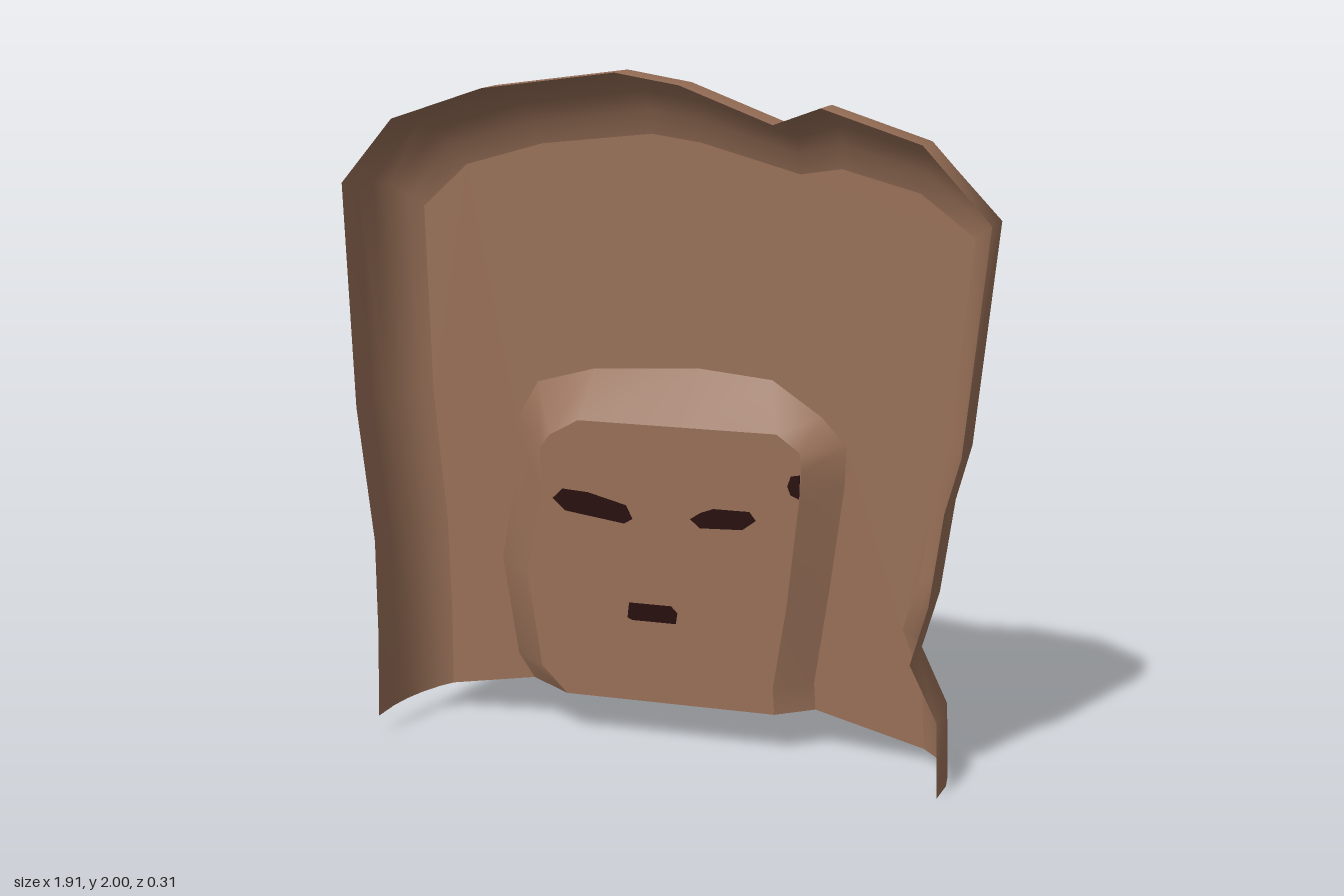
import * as THREE from 'three';

const BACK = -0.148, FACE = -0.06;

// Rim corner (x, y) and the matching corner (x, y) where the rounded edge meets the back
const EDGE = [
  [-0.88, 0.06, -0.77, 0.085], [-0.875, 0.3, -0.77, 0.3], [-0.88, 0.6, -0.78, 0.6],
  [-0.93, 1.0, -0.82, 1.0], [-0.96, 1.66, -0.84, 1.56], [-0.8, 1.85, -0.7, 1.69],
  [-0.52, 1.945, -0.46, 1.76], [-0.12, 2.0, -0.12, 1.8], [0.07, 1.97, 0.03, 1.78],
  [0.34, 1.87, 0.33, 1.7], [0.475, 1.92, 0.45, 1.72], [0.76, 1.83, 0.68, 1.66],
  [0.955, 1.62, 0.84, 1.54], [0.885, 0.98, 0.78, 0.98], [0.84, 0.82, 0.74, 0.82],
  [0.8, 0.55, 0.7, 0.55], [0.75, 0.38, 0.65, 0.39], [0.83, 0.22, 0.71, 0.24],
  [0.835, 0.0, 0.72, 0.035],
];

// Outer corner (x, y) and inner corner (x, y) of the bevel round the face panel
const BEVEL = [
  [-0.5, 0.13, -0.36, 0.12], [-0.55, 0.2, -0.44, 0.2], [-0.6, 0.5, -0.485, 0.49],
  [-0.55, 0.77, -0.44, 0.72], [-0.55, 0.93, -0.44, 0.87], [-0.48, 1.05, -0.41, 0.91],
  [-0.3, 1.1, -0.32, 0.96], [0.03, 1.12, 0.0, 0.96], [0.25, 1.1, 0.29, 0.96],
  [0.4, 1.0, 0.36, 0.91], [0.475, 0.92, 0.365, 0.85], [0.47, 0.8, 0.36, 0.77],
  [0.43, 0.5, 0.325, 0.45], [0.385, 0.2, 0.285, 0.2], [0.39, 0.12, 0.29, 0.12],
];

// Rounded section of the edge: [z, share of the way from rim to back]
const SECTION = [[0.16, 0], [0.05, 0], [-0.02, 0.11], [-0.08, 0.34], [-0.125, 0.66], [BACK, 1]];

const outer = (list) => list.map(([x, y]) => [x, y]);
const inner = (list) => list.map(([, , x, y]) => [x, y]);
const shapeOf = (pts) => new THREE.Shape(pts.map(([x, y]) => new THREE.Vector2(x, y)));

// Open surface swept from the first to the second outline through a section
function sweep(list, section) {
  const pos = [], index = [], n = list.length;
  for (const [z, t] of section)
    for (const [x, y, u, v] of list) pos.push(x + (u - x) * t, y + (v - y) * t, z);
  for (let r = 0; r < section.length - 1; r++)
    for (let i = 0; i < n - 1; i++) {
      const a = r * n + i, b = a + 1, c = a + n, d = c + 1;
      index.push(a, b, c, b, d, c);
    }
  const geo = new THREE.BufferGeometry();
  geo.setAttribute('position', new THREE.Float32BufferAttribute(pos, 3));
  geo.setIndex(index);
  geo.computeVertexNormals();
  return geo;
}

export function createModel() {
  const group = new THREE.Group();
  const brown = new THREE.MeshStandardMaterial({ color: 0x976f57, side: THREE.DoubleSide });
  brown.name = 'brown';
  const dark = new THREE.MeshStandardMaterial({ color: 0x260c0a });
  dark.name = 'dark red brown';

  const add = (name, geo, mat, z = 0) => {
    const mesh = new THREE.Mesh(geo, mat);
    mesh.name = name;
    mesh.position.z = z;
    group.add(mesh);
  };

  // Shell: rounded edge, flat back with an opening, bevel and raised face panel
  add('roundedEdge', sweep(EDGE, SECTION), brown);
  add('back', new THREE.ShapeGeometry(shapeOf([...inner(EDGE), ...outer(BEVEL).reverse()])), brown, BACK);
  add('faceBevel', sweep(BEVEL, [[BACK, 0], [FACE, 1]]), brown);
  add('facePanel', new THREE.ShapeGeometry(shapeOf(inner(BEVEL))), brown, FACE);

  // Dark slots, showing on both sides of the panel
  const slots = {
    rightEye: [[-0.4, 0.72], [-0.37, 0.75], [-0.29, 0.745], [-0.17, 0.715], [-0.15, 0.675], [-0.175, 0.66], [-0.36, 0.685]],
    leftEye: [[0.03, 0.69], [0.06, 0.71], [0.1, 0.725], [0.21, 0.725], [0.23, 0.7], [0.19, 0.67], [0.06, 0.665]],
    mouth: [[-0.165, 0.375], [-0.16, 0.42], [-0.03, 0.42], [-0.01, 0.4], [-0.015, 0.368], [-0.15, 0.368]],
    sideSlot: [[0.325, 0.81], [0.335, 0.84], [0.362, 0.845], [0.36, 0.775], [0.335, 0.785]],
  };
  for (const [name, pts] of Object.entries(slots))
    add(name, new THREE.ExtrudeGeometry(shapeOf(pts), { depth: 0.008, bevelEnabled: false }), dark, FACE - 0.004);

  return group;
}
